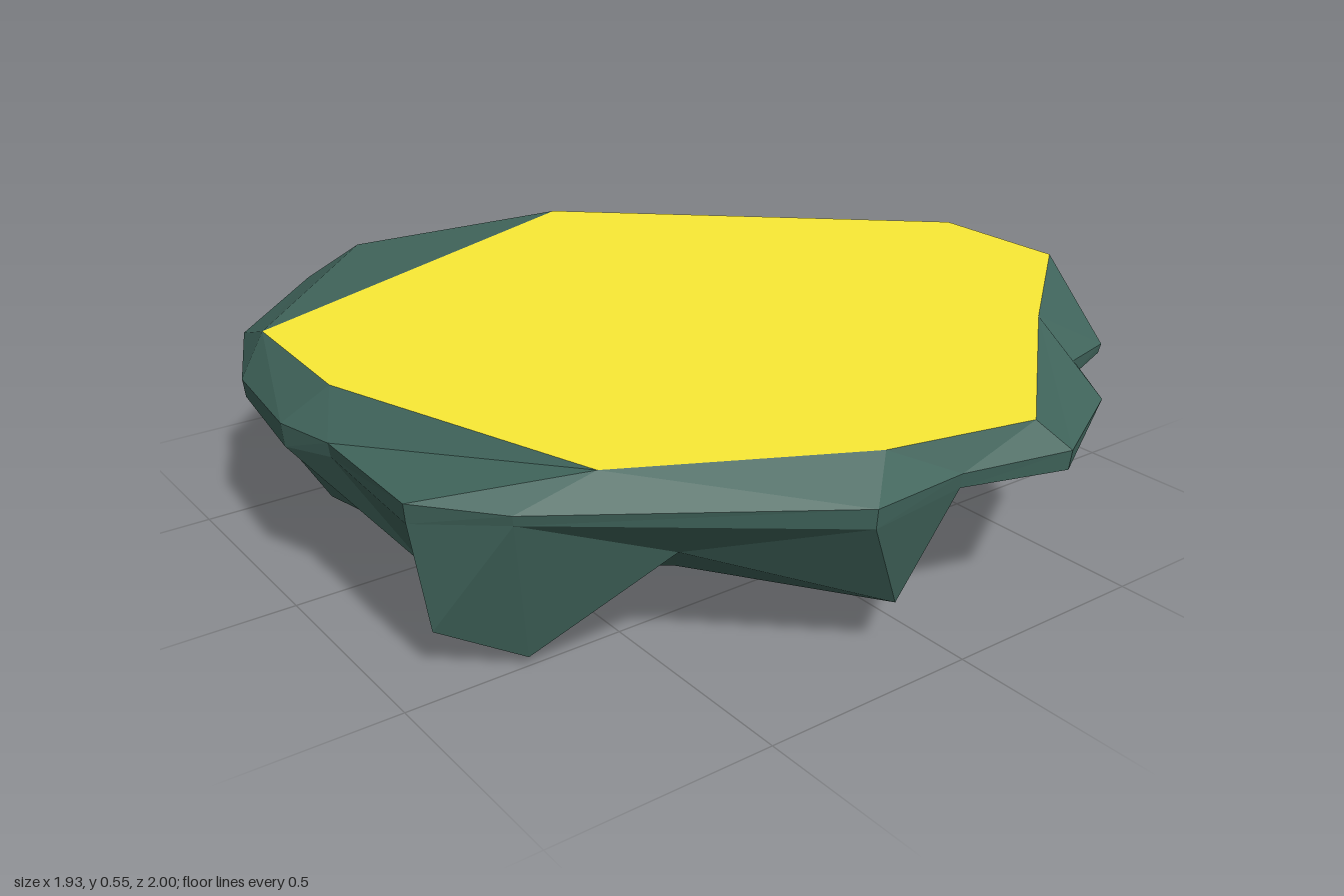
import * as THREE from 'three';

// Loops of [x, y, z], all ordered by growing angle around the y axis
const byAngle = (loop) => [...loop].sort((a, b) => Math.atan2(a[2], a[0]) - Math.atan2(b[2], b[0]));

// Edge of the coloured top, running from the back round the front to the back left
const topEdge = [
  [-0.03, 0.41, -0.87], [0.31, 0.45, -0.73], [0.64, 0.44, -0.54], [0.87, 0.45, -0.31],
  [0.9, 0.53, 0.03], [0.9, 0.53, 0.38], [0.64, 0.48, 0.58], [0.23, 0.45, 0.94],
  [-0.14, 0.465, 0.89], [-0.62, 0.45, 0.61], [-0.88, 0.485, 0], [-0.87, 0.49, -0.37],
];
// Bare rock behind the coloured top, closing the ring
const backEdge = [topEdge[11], [-0.42, 0.5, -0.81], [-0.2, 0.485, -0.82], topEdge[0]];
const apex = [0.08, 0.545, -0.64];

// Widest outline of the slab
const rim = byAngle([
  [-0.27, 0.38, -1], [-0.02, 0.38, -0.92], [0.28, 0.39, -0.89], [0.41, 0.39, -0.74],
  [0.75, 0.39, -0.51], [0.88, 0.4, -0.31], [0.94, 0.41, -0.15], [0.965, 0.43, -0.02],
  [0.96, 0.4, 0.24], [0.91, 0.39, 0.42], [0.83, 0.38, 0.62], [0.67, 0.39, 0.67],
  [0.58, 0.37, 0.83], [0.28, 0.39, 1], [0.02, 0.39, 0.945], [-0.22, 0.39, 0.96],
  [-0.78, 0.38, 0.56], [-0.93, 0.39, 0.41], [-0.925, 0.39, 0.07], [-0.97, 0.4, -0.06],
  [-0.94, 0.4, -0.34], [-0.82, 0.4, -0.62], [-0.53, 0.41, -0.89], [-0.43, 0.41, -0.96],
]);
const lowerRim = rim.map(([x, y, z], i) => [x * 0.995, 0.345 + 0.012 * (i % 2), z * 0.995]);

// Jagged underside outline with the low feet
const underside = byAngle([
  [-0.1, 0.12, 0.9], [0.35, 0.12, 0.58], [0.8, 0.12, 0.26], [0.8, 0.06, -0.12],
  [0.52, 0.115, -0.27], [0.38, 0.115, -0.48], [0.19, 0.115, -0.76], [-0.17, 0.18, -0.95],
  [-0.31, 0.03, -0.68], [-0.49, 0.11, -0.54], [-0.71, 0, -0.44], [-0.76, 0.11, -0.05],
  [-0.79, 0.12, 0.2], [-0.89, 0.1, 0.42], [-0.72, 0.02, 0.5], [-0.48, 0.26, 0.68],
]);
// Flat base: level corners stay near the outline, feet and notches step well inside it
const baseHeight = 0.115;
const flatBase = underside.map(([x, y, z]) => {
  const s = Math.abs(y - baseHeight) > 0.01 ? 0.75 : 0.95;
  return [x * s, baseHeight, z * s];
});

// Triangles from one point to every edge of a chain
function fan(centre, chain, up) {
  const out = [];
  for (let i = 0; i + 1 < chain.length; i++) {
    out.push(centre, chain[up ? i + 1 : i], chain[up ? i : i + 1]);
  }
  return out;
}

// Joins two closed loops with different counts, always stepping to the nearer angle
function stitch(upper, lower) {
  const angle = (loop, i) => Math.atan2(loop[i % loop.length][2], loop[i % loop.length][0])
    + Math.PI * 2 * Math.floor(i / loop.length);
  const out = [];
  let i = 0, j = 0;
  while (i < upper.length || j < lower.length) {
    const u = upper[i % upper.length], l = lower[j % lower.length];
    const stepUpper = j >= lower.length
      || (i < upper.length && angle(upper, i + 1) < angle(lower, j + 1));
    if (stepUpper) out.push(u, upper[++i % upper.length], l);
    else out.push(u, lower[++j % lower.length], l);
  }
  return out;
}

function facetMesh(name, points, color, flatShading = true) {
  const geometry = new THREE.BufferGeometry();
  geometry.setAttribute('position', new THREE.Float32BufferAttribute(points.flat(), 3));
  geometry.computeVertexNormals();
  const material = new THREE.MeshStandardMaterial({ color, flatShading, side: THREE.DoubleSide });
  const mesh = new THREE.Mesh(geometry, material);
  mesh.name = name;
  return mesh;
}

// One broad facet, shaded evenly with the mean normal of its triangles
function evenFacet(name, chain, color) {
  const mesh = facetMesh(name, fan(apex, chain, true), color, false);
  const normals = mesh.geometry.attributes.normal;
  const mean = new THREE.Vector3(), n = new THREE.Vector3();
  for (let i = 0; i < normals.count; i++) mean.add(n.fromBufferAttribute(normals, i));
  mean.normalize();
  for (let i = 0; i < normals.count; i++) normals.setXYZ(i, mean.x, mean.y, mean.z);
  return mesh;
}

export function createModel() {
  const group = new THREE.Group();
  group.name = 'rockSlab';
  const topLoop = byAngle([...topEdge, backEdge[1], backEdge[2]]);

  // Rock body: bare back slope, bevel, rim, walls with feet, underside
  group.add(facetMesh('rockBody', [
    ...fan(apex, backEdge, true),
    ...stitch(topLoop, rim),
    ...stitch(rim, lowerRim),
    ...stitch(lowerRim, underside),
    ...stitch(underside, flatBase),
    ...fan([0, baseHeight, 0], [...flatBase, flatBase[0]], false),
  ], 0x40645b));

  // Coloured top: three broad facets meeting at the apex
  const yellow = 0xf8e834;
  group.add(
    evenFacet('topBackFacet', topEdge.slice(0, 2), yellow),
    evenFacet('topSideFacet', topEdge.slice(1, 5), yellow),
    evenFacet('topMainFacet', topEdge.slice(4), yellow),
  );
  return group;
}
